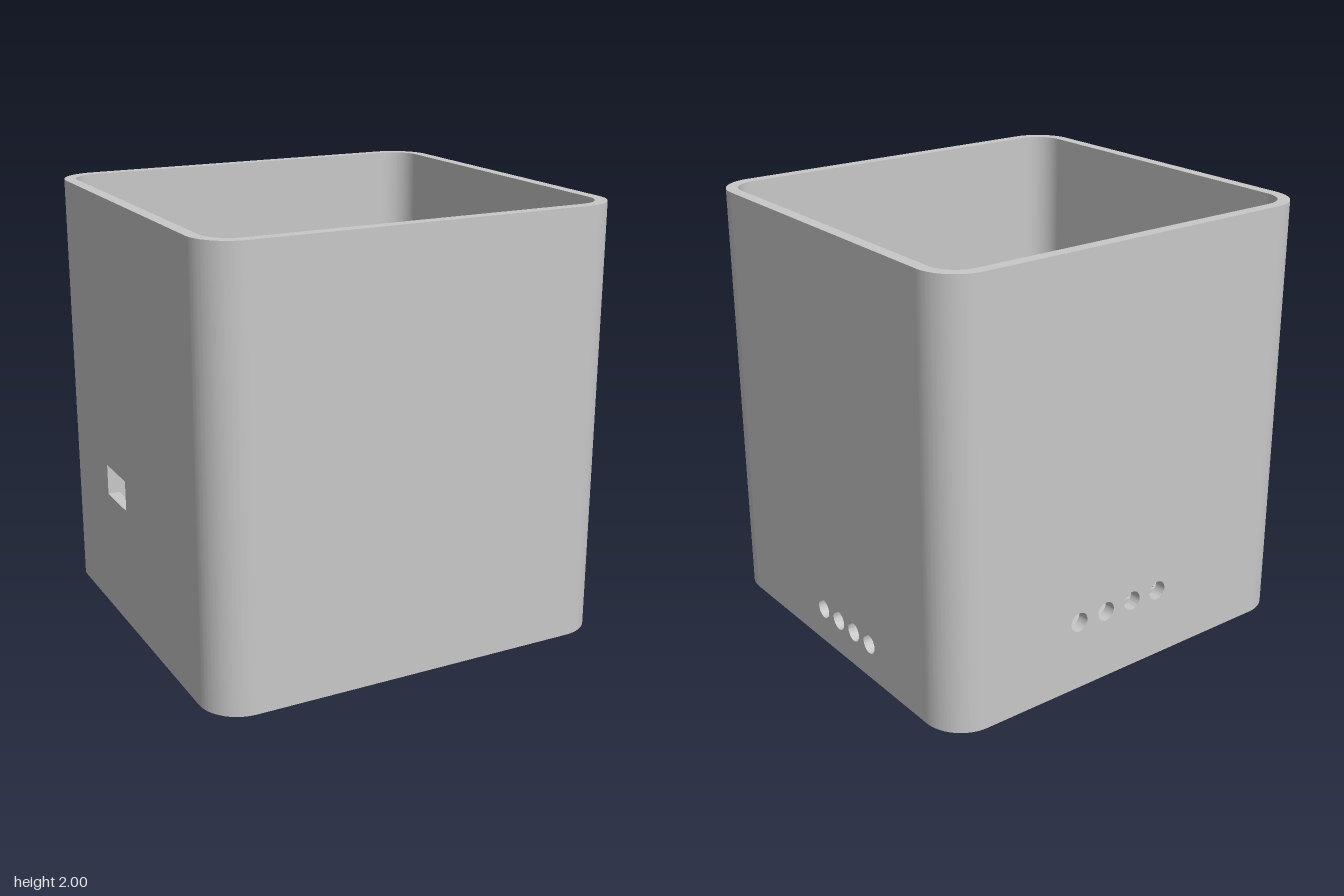
import * as THREE from 'three';
import { toCreasedNormals } from 'three/addons/utils/BufferGeometryUtils.js';

const HX = 0.972, HZ = 0.92, H = 2;   // outer half sizes and height
const T = 0.055, R = 0.185, FLOOR = 0.055;

export function createModel() {
  const group = new THREE.Group();
  const grey = new THREE.MeshStandardMaterial({ color: 0xc8c8c8 });
  grey.name = 'light grey';

  const add = (name, geometry, parent = group) => {
    const mesh = new THREE.Mesh(geometry, grey);
    mesh.name = name;
    parent.add(mesh);
    return mesh;
  };
  const extrude = (shape, depth) => toCreasedNormals(
    new THREE.ExtrudeGeometry(shape, { depth, bevelEnabled: false, curveSegments: 20 }), 0.5);
  // Extrude a plan drawn as (x, -z) upward from y0 to y1
  const plan = (shape, y0, y1) => extrude(shape, y1 - y0).rotateX(-Math.PI / 2).translate(0, y0, 0);

  const trace = (path, x0, y0, x1, y1) => {
    path.moveTo(x0, y0);
    path.lineTo(x1, y0);
    path.lineTo(x1, y1);
    path.lineTo(x0, y1);
    path.closePath();
    return path;
  };
  const circle = (path, x, y, r) => path.absarc(x, y, r, 0, Math.PI * 2, false);

  // Flat wall panels with their openings
  const wall = (name, halfWidth, distance, angle, holes) => {
    const shape = trace(new THREE.Shape(), -halfWidth, 0, halfWidth, H);
    shape.holes.push(...holes);
    const mesh = add(name, extrude(shape, T).translate(0, 0, distance - T));
    mesh.rotation.y = angle;
  };
  const vents = (positions, y) => positions.map(u => circle(new THREE.Path(), u, y, 0.045));
  const wx = HX - R, wz = HZ - R;
  wall('frontWall', wx, HZ, 0, []);
  wall('backWall', wx, HZ, Math.PI, vents([-0.29, -0.138, 0.014, 0.165], 0.33));
  wall('ventedSideWall', wz, HX, Math.PI / 2, vents([-0.09, 0.04, 0.167, 0.295], 0.17));
  wall('portSideWall', wz, HX, -Math.PI / 2, [trace(new THREE.Path(), -0.335, 0.578, -0.09, 0.723)]);

  // Rounded corner columns
  [[1, 1], [-1, 1], [-1, -1], [1, -1]].forEach(([sx, sy], i) => {
    const a = i * Math.PI / 2, b = a + Math.PI / 2;
    const shape = new THREE.Shape();
    shape.absarc(sx * wx, sy * wz, R, a, b, false);
    shape.absarc(sx * wx, sy * wz, R - T, b, a, true);
    shape.closePath();
    add('roundedCorner', plan(shape, 0, H));
  });

  // Floor plate with round openings
  const floor = new THREE.Shape();
  const r = R - T;
  floor.absarc(wx, wz, r, 0, Math.PI / 2, false);
  floor.absarc(-wx, wz, r, Math.PI / 2, Math.PI, false);
  floor.absarc(-wx, -wz, r, Math.PI, Math.PI * 1.5, false);
  floor.absarc(wx, -wz, r, Math.PI * 1.5, Math.PI * 2, false);
  floor.closePath();
  [[0.04, -0.345, 0.172], [0.04, 0.125, 0.172], [0.635, -0.6, 0.09]].forEach(([x, z, radius]) =>
    floor.holes.push(circle(new THREE.Path(), x, -z, radius)));
  add('floor', plan(floor, 0, FLOOR));

  // Hollow round posts and the collar round the small opening
  const ring = (name, x, z, outer, inner, y0, y1, parent) => {
    const shape = circle(new THREE.Shape(), x, -z, outer);
    shape.holes.push(circle(new THREE.Path(), x, -z, inner));
    add(name, plan(shape, y0, y1), parent);
  };
  ring('cableCollar', 0.635, -0.6, 0.15, 0.09, FLOOR, 0.1);

  // Four mounting posts per board: x pair, z pair, bottom, top
  [
    [[-0.81, -0.343], [-0.302, 0.038], FLOOR, 0.15],
    [[-0.26, 0.336], [-0.387, 0.167], FLOOR, 0.15],
    [[0.25, 0.72], [-0.685, -0.387], FLOOR, 0.15],
    [[-0.855, -0.557], [-0.132, 0.124], 0.45, 0.55],
  ].forEach(([xs, zs, y0, y1]) => {
    const posts = new THREE.Group();
    posts.name = 'boardPosts';
    group.add(posts);
    for (const x of xs) for (const z of zs) ring('post', x, z, 0.063, 0.027, y0, y1, posts);
  });

  // Slotted holder near the back
  const holder = trace(new THREE.Shape(), -0.428, 0.6, -0.173, 0.667);
  holder.holes.push(trace(new THREE.Path(), -0.402, 0.615, -0.202, 0.652));
  add('slotHolder', plan(holder, FLOOR, 0.15));

  // Inner rail
  add('rail', new THREE.BoxGeometry(0.046, 0.07, 0.59).translate(0.615, 1.355, 0.465));

  return group;
}
